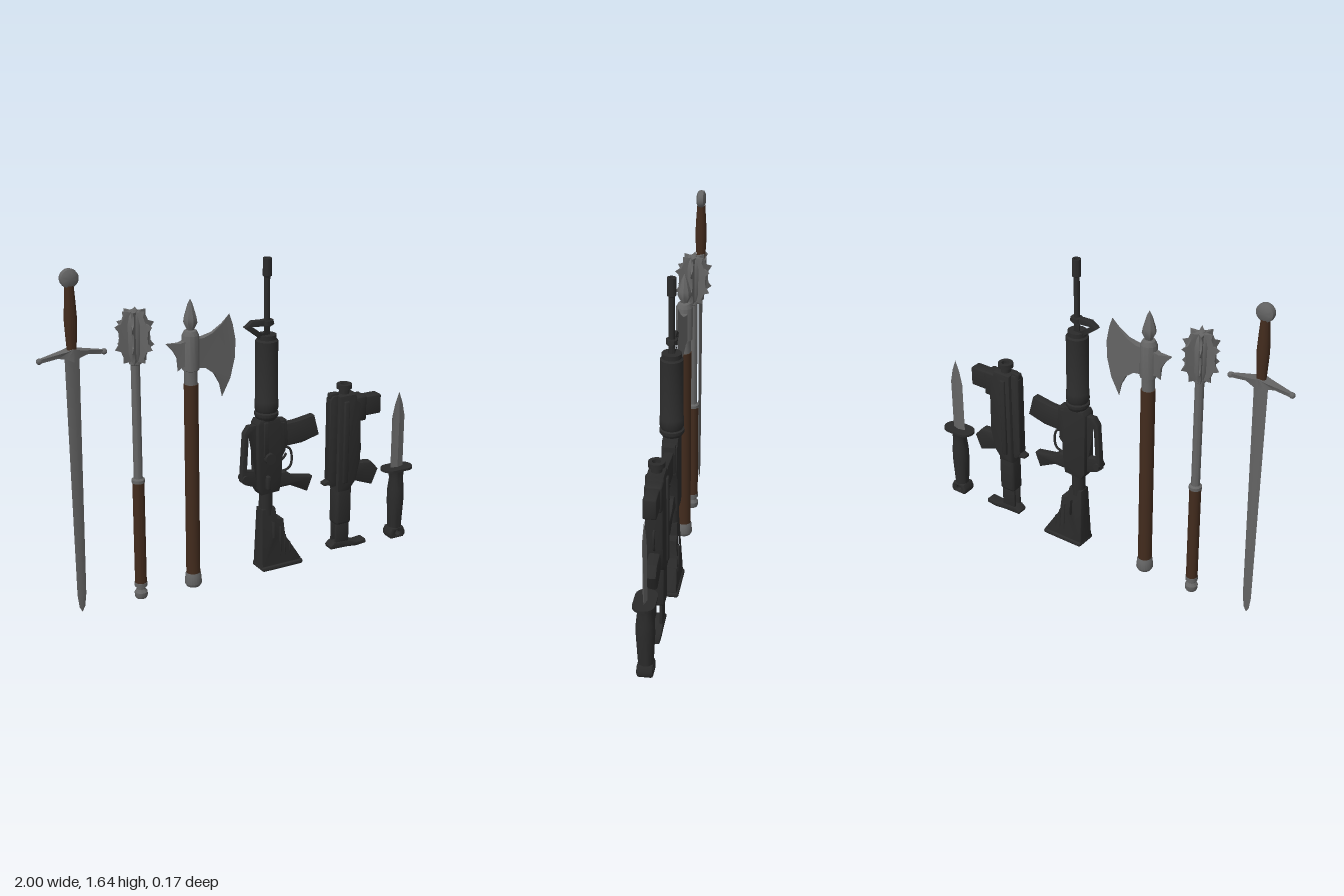
import * as THREE from 'three';
import { toCreasedNormals, mergeVertices } from 'three/addons/utils/BufferGeometryUtils.js';
import { RoundedBoxGeometry } from 'three/addons/geometries/RoundedBoxGeometry.js';

const mat = (name, color) => Object.assign(new THREE.MeshStandardMaterial({ color }), { name });
const steel = mat('steel', 0x646464);
const wood = mat('dark wood', 0x422b1d);
const black = mat('gunmetal black', 0x2b2b2b);

const v2 = (p) => p.map(([x, y]) => new THREE.Vector2(x, y));
const v3 = (p) => p.map(([x, y, z = 0]) => new THREE.Vector3(x, y, z));

function add(group, name, geo, material, x = 0, y = 0, z = 0) {
  const mesh = new THREE.Mesh(toCreasedNormals(geo, 0.6), material);
  mesh.name = name;
  mesh.position.set(x, y, z);
  group.add(mesh);
  return mesh;
}

// turned solid from [radius, height] points, listed bottom to top
const turned = (pts, sides = 20, depth = 1) =>
  new THREE.LatheGeometry(v2(pts), sides).scale(1, 1, depth);
const rod = (r, y0, y1, sides = 20, depth = 1) => turned([[0, y0], [r, y0], [r, y1], [0, y1]], sides, depth);
const box = (x0, x1, y0, y1, d, r = 0.006) =>
  new RoundedBoxGeometry(x1 - x0, y1 - y0, d, 2, r).translate((x0 + x1) / 2, (y0 + y1) / 2, 0);
const tube = (pts, r, n = 24) => new THREE.TubeGeometry(new THREE.CatmullRomCurve3(v3(pts)), n, r, 8);

// bevelled outline of full depth d, centred on z
function slab(pts, d, holes = [], bevel = 0.006) {
  const shape = new THREE.Shape(v2(pts));
  shape.holes = holes;
  return new THREE.ExtrudeGeometry(shape, {
    depth: d - 2 * bevel, bevelEnabled: true, bevelThickness: bevel,
    bevelSize: bevel, bevelOffset: -bevel, bevelSegments: 2, curveSegments: 16,
  }).translate(0, 0, -d / 2 + bevel);
}
const hole = (pts) => new THREE.Path(v2(pts));

// plate whose half thickness t is given at each outline point [x, y, t]
function wedge(points) {
  let p = points;
  if (THREE.ShapeUtils.area(v2(p)) < 0) p = [...p].reverse();
  const pos = [], n = p.length;
  const put = (i, s) => pos.push(p[i][0], p[i][1], s * p[i][2]);
  for (const [a, b, c] of THREE.ShapeUtils.triangulateShape(v2(p), [])) {
    put(a, 1); put(b, 1); put(c, 1);
    put(c, -1); put(b, -1); put(a, -1);
  }
  for (let i = 0; i < n; i++) {
    const j = (i + 1) % n;
    if (p[i][2] + p[j][2] === 0) continue;
    put(i, -1); put(j, -1); put(j, 1);
    put(i, -1); put(j, 1); put(i, 1);
  }
  const g = new THREE.BufferGeometry();
  g.setAttribute('position', new THREE.Float32BufferAttribute(pos, 3));
  return g;
}

function item(root, name, x, z = 0.005) {
  const g = new THREE.Group();
  g.name = name;
  g.position.set(x, 0, z);
  root.add(g);
  return g;
}

function sword(root) {
  const g = item(root, 'sword', -0.835);
  add(g, 'swordBlade', turned([[0, 0.01], [0.014, 0.035], [0.022, 0.1], [0.035, 1.27], [0, 1.27]], 4, 0.3), steel);
  // drooping crossguard, thick at the middle
  const guard = (s) => wedge([[0, 1.295, 0.028], [s * 0.035, 1.285, 0.024], [s * 0.07, 1.279, 0.01],
    [s * 0.15, 1.265, 0.008], [s * 0.15, 1.248, 0.008], [s * 0.07, 1.258, 0.01], [s * 0.03, 1.252, 0.024], [0, 1.235, 0.028]]);
  for (const s of [-1, 1]) {
    add(g, 'crossguardArm', guard(s), steel);
    add(g, 'crossguardKnob', new THREE.SphereGeometry(0.014, 14, 10), steel, s * 0.152, 1.256);
  }
  add(g, 'swordGrip', turned([[0.021, 1.28], [0.026, 1.36], [0.029, 1.42], [0.025, 1.5], [0.02, 1.575]]), wood);
  const disc = turned([[0, -0.022], [0.026, -0.021], [0.041, -0.013], [0.043, 0], [0.041, 0.013], [0.026, 0.021], [0, 0.022]], 24);
  add(g, 'swordPommel', disc.rotateX(Math.PI / 2), steel, 0, 1.607);
}

function mace(root) {
  const g = item(root, 'mace', -0.532, 0);
  add(g, 'macePommel', turned([[0, 0.01], [0.026, 0.01], [0.031, 0.022], [0.031, 0.04], [0.02, 0.055],
    [0.02, 0.065], [0.03, 0.07], [0.03, 0.09], [0, 0.09]]), steel);
  add(g, 'maceGrip', rod(0.028, 0.09, 0.605), wood);
  add(g, 'maceShaft', turned([[0.031, 0.6], [0.031, 0.615], [0.021, 0.622], [0.021, 1.17], [0.028, 1.175], [0.028, 1.19], [0, 1.19]]), steel);
  add(g, 'maceCore', turned([[0.024, 1.18], [0.036, 1.23], [0.038, 1.36], [0.03, 1.4], [0.015, 1.425], [0, 1.43]]), steel);
  // six pointed flanges, symmetric about their middle height
  const half = [[0, 0.122, 0.014], [0.025, 0.115, 0.01], [0.057, 0.12, 0], [0.053, 0.095, 0.006],
    [0.066, 0.065, 0.005], [0.097, 0.053, 0], [0.077, 0.03, 0.004], [0.074, 0, 0.005]];
  const outline = [...half, ...half.slice(0, -1).reverse().map(([r, y, t]) => [r, -y, t])];
  for (let i = 0; i < 6; i++) add(g, 'maceFlange', wedge(outline), steel, 0, 1.303).rotation.y = (i * Math.PI) / 3;
}

function axe(root) {
  const g = item(root, 'battleAxe', -0.257);
  add(g, 'axePommel', turned([[0, 0.01], [0.034, 0.01], [0.042, 0.025], [0.038, 0.07], [0.034, 0.08], [0, 0.08]]), steel);
  add(g, 'axeShaft', rod(0.034, 0.08, 1.035), wood);
  add(g, 'axeSocket', turned([[0.031, 1.03], [0.031, 1.1], [0.04, 1.105], [0.04, 1.27], [0.03, 1.29], [0.018, 1.295], [0, 1.295]], 12), steel);
  add(g, 'axeTopSpike', turned([[0.016, 1.285], [0.019, 1.3], [0.034, 1.33], [0.03, 1.355], [0.014, 1.41], [0, 1.44]], 8), steel);
  add(g, 'axeBlade', wedge([[0.02, 1.25, 0.022], [0.06, 1.25, 0.017], [0.11, 1.265, 0.011], [0.16, 1.3, 0.005], [0.2, 1.342, 0],
    [0.218, 1.29, 0], [0.232, 1.215, 0], [0.23, 1.13, 0], [0.205, 1.03, 0], [0.16, 0.945, 0],
    [0.148, 1.01, 0.005], [0.12, 1.065, 0.011], [0.07, 1.105, 0.017], [0.02, 1.115, 0.022]]), steel);
  add(g, 'axeBackSpike', wedge([[-0.02, 1.25, 0.02], [-0.06, 1.238, 0.014], [-0.127, 1.245, 0], [-0.09, 1.205, 0.006],
    [-0.07, 1.17, 0.007], [-0.067, 1.105, 0], [-0.045, 1.125, 0.012], [-0.02, 1.125, 0.02]]), steel);
}

function rifle(root) {
  const g = item(root, 'rifle', 0);
  const x = 0.142;
  const part = (name, geo, px = 0, py = 0, pz = 0) => add(g, name, geo, black, px, py, pz);
  part('rifleBarrel', rod(0.014, 0.8, 1.52), x);
  part('flashHider', turned([[0.014, 1.49], [0.021, 1.495], [0.021, 1.58], [0.012, 1.58], [0.012, 1.56], [0, 1.56]]), x);
  part('frontSight', slab([[0.02, 1.262], [0.06, 1.29], [0.17, 1.285], [0.175, 1.262], [0.15, 1.25], [0.155, 1.2], [0.1, 1.2]],
    0.03, [hole([[0.052, 1.266], [0.125, 1.262], [0.125, 1.222], [0.105, 1.222]])], 0.004));
  part('barrelCollar', rod(0.027, 1.262, 1.283), x);
  part('handguard', turned([[0, 0.795], [0.045, 0.795], [0.058, 0.815], [0.058, 0.83], [0.05, 0.835],
    [0.057, 0.85], [0.057, 0.89], [0.054, 0.895], [0.054, 1.185], [0.046, 1.193], [0.046, 1.215], [0, 1.215]], 24), x);
  part('rifleReceiver', slab([[0.09, 0.8], [0.195, 0.8], [0.205, 0.775], [0.225, 0.77], [0.232, 0.63],
    [0.215, 0.6], [0.21, 0.5], [0.2, 0.42], [0.1, 0.415], [0.08, 0.45], [0.077, 0.78]], 0.075));
  part('carryHandle', slab([[0.085, 0.775], [0.04, 0.775], [0.015, 0.74], [0.003, 0.54], [0, 0.495], [0.02, 0.478], [0.09, 0.45]],
    0.034, [hole([[0.076, 0.725], [0.04, 0.725], [0.03, 0.55], [0.076, 0.54]])], 0.005));
  part('rearSight', rod(0.018, -0.026, 0.026).rotateX(Math.PI / 2), 0.02, 0.51);
  part('rifleMagwell', slab([[0.18, 0.785], [0.24, 0.78], [0.25, 0.645], [0.18, 0.63]], 0.06));
  part('rifleMagazine', slab([[0.21, 0.755], [0.3, 0.757], [0.4, 0.772], [0.428, 0.667], [0.33, 0.643], [0.21, 0.64]], 0.045));
  part('rifleTriggerGuard', tube([[0.21, 0.63], [0.27, 0.62], [0.286, 0.57], [0.275, 0.52], [0.21, 0.5]], 0.006));
  part('rifleTrigger', tube([[0.2, 0.565], [0.235, 0.57], [0.255, 0.595]], 0.006, 8));
  part('riflePistolGrip', slab([[0.15, 0.5], [0.24, 0.51], [0.29, 0.475], [0.395, 0.455], [0.365, 0.38], [0.27, 0.43], [0.2, 0.43], [0.15, 0.43]], 0.05, [], 0.01));
  part('ejectionKnob', rod(0.027, 0, 0.06).rotateX(Math.PI / 2), 0.137, 0.605);
  part('selectorLever', box(-0.01, 0.01, -0.035, 0.035, 0.045), 0.13, 0.48, 0.035);
  part('bolt', box(-0.012, 0.012, -0.09, 0.09, 0.02), 0.12, 0.7, 0.035);
  part('bufferTube', rod(0.034, 0.3, 0.43), x);
  // shoulder stock, widening toward the butt
  const stock = slab([[0.105, 0.335], [0.18, 0.335], [0.19, 0.275], [0.225, 0.265], [0.235, 0.175], [0.32, 0.04], [0.32, 0.02], [0.1, 0.02]],
    0.09, [hole([[0.153, 0.275], [0.178, 0.26], [0.178, 0.17], [0.153, 0.17]])]);
  const p = stock.attributes.position;
  for (let i = 0; i < p.count; i++) p.setZ(i, p.getZ(i) * (1.1 - 1.3 * p.getY(i)));
  part('rifleStock', stock);
  for (const k of [0, 1, 2]) part('stockRib', box(0.2, 0.208, 0.05, 0.23 - k * 0.045, 0.09, 0.003), k * 0.026);
  part('buttPlate', box(0.098, 0.328, 0.01, 0.036, 0.114, 0.012));
}

function submachineGun(root) {
  const g = item(root, 'submachineGun', 0);
  const part = (name, geo, px = 0, py = 0, pz = 0) => add(g, name, geo, black, px, py, pz);
  part('muzzle', turned([[0.025, 0.8], [0.025, 0.87], [0.038, 0.875], [0.038, 0.898], [0.02, 0.898], [0.02, 0.88], [0, 0.88]]), 0.58);
  part('smgReceiver', slab([[0.53, 0.85], [0.63, 0.85], [0.64, 0.82], [0.66, 0.8], [0.665, 0.5], [0.64, 0.39], [0.6, 0.34], [0.53, 0.34]], 0.085, [], 0.016));
  part('smgTopCover', slab([[0.49, 0.83], [0.505, 0.85], [0.54, 0.85], [0.54, 0.37], [0.51, 0.37], [0.49, 0.41]], 0.05, [], 0.008));
  for (const s of [-1, 1]) part('sideRail', box(0.555, 0.585, 0.39, 0.82, 0.02), 0, 0, s * 0.043);
  part('smgRearSight', slab([[0.465, 0.385], [0.465, 0.397], [0.5, 0.41], [0.53, 0.41], [0.53, 0.375]], 0.04, [], 0.004));
  part('smgFrontSight', box(0.492, 0.54, 0.83, 0.862, 0.03));
  part('smgMagwell', box(0.62, 0.69, 0.7, 0.83, 0.08, 0.01));
  part('smgMagazine', box(0.64, 0.78, 0.72, 0.82, 0.062, 0.008));
  part('smgTriggerGuard', tube([[0.64, 0.595], [0.67, 0.59], [0.682, 0.545], [0.67, 0.5], [0.63, 0.485]], 0.006));
  part('smgTrigger', tube([[0.63, 0.535], [0.655, 0.54], [0.668, 0.565]], 0.005, 8));
  part('smgPistolGrip', slab([[0.58, 0.47], [0.66, 0.475], [0.74, 0.465], [0.78, 0.42], [0.745, 0.34], [0.68, 0.365], [0.62, 0.39], [0.58, 0.4]], 0.055, [], 0.012));
  part('smgRearTube', box(0.53, 0.618, 0.16, 0.37, 0.075, 0.015));
  for (const s of [-1, 1]) part('stockArm', box(0.535, 0.612, 0.04, 0.2, 0.014, 0.004), 0, 0, s * 0.02);
  part('stockFoot', slab([[0.505, 0.045], [0.53, 0.065], [0.61, 0.062], [0.66, 0.042], [0.715, 0.046], [0.718, 0.025], [0.66, 0.02], [0.6, 0.027], [0.51, 0.03]], 0.06));
}

function knife(root) {
  const g = item(root, 'combatKnife', 0.909);
  for (const s of [-1, 1]) {
    add(g, 'knifeBladeHalf', wedge([[0, 0.39, 0.01], [s * 0.037, 0.39, 0], [s * 0.037, 0.67, 0], [s * 0.022, 0.74, 0], [0, 0.8, 0], [0, 0.69, 0.01]]), steel);
  }
  // rounded flat guard
  const guard = new THREE.Shape();
  guard.absarc(0.037, 0, 0.05, -Math.PI / 2, Math.PI / 2);
  guard.absarc(-0.037, 0, 0.05, Math.PI / 2, Math.PI * 1.5);
  add(g, 'knifeGuard', new THREE.ExtrudeGeometry(guard, { depth: 0.012, bevelEnabled: false, curveSegments: 16 })
    .rotateX(-Math.PI / 2), black, 0, 0.385);
  add(g, 'knifeHandle', turned([[0, 0.055], [0.034, 0.055], [0.038, 0.12], [0.043, 0.22], [0.042, 0.28], [0.036, 0.33], [0.038, 0.37], [0.042, 0.385]], 24), black);
  const lanyard = new THREE.Path().absarc(0, 0.04, 0.012, 0, Math.PI * 2, true);
  add(g, 'knifePommel', slab([[-0.036, 0.01], [0.036, 0.01], [0.046, 0.025], [0.046, 0.045], [0.035, 0.068], [-0.035, 0.068], [-0.046, 0.045], [-0.046, 0.025]],
    0.075, [lanyard], 0.01), black);
}

export function createModel() {
  const root = new THREE.Group();
  root.name = 'weaponSet';
  for (const build of [sword, mace, axe, rifle, submachineGun, knife]) build(root);
  root.position.y = -0.01;
  const model = new THREE.Group();
  model.name = 'weaponCollection';
  model.add(root);
  return model;
}
